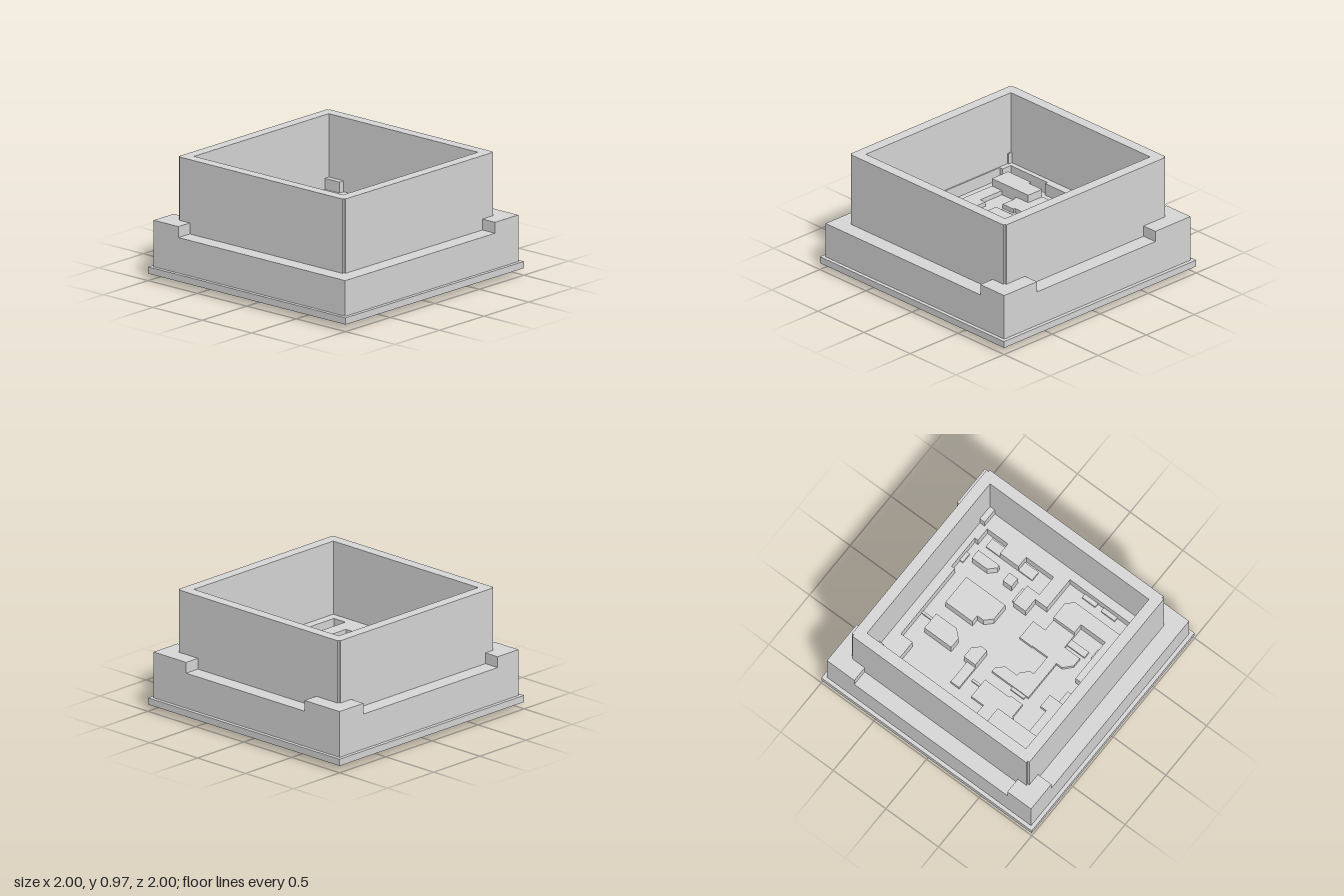
import * as THREE from 'three';

const grey = new THREE.MeshStandardMaterial({ color: 0xd9d9d9 });
grey.name = 'plain grey';

const rect = (x0, x1, z0, z1) => [[x0, z0], [x1, z0], [x1, z1], [x0, z1]];

// (x, z) corners to shape points, wound clockwise for holes and counter-clockwise for outlines
const toPoints = (pts, clockwise) => {
  const out = pts.map(([x, z]) => new THREE.Vector2(x, -z));
  return THREE.ShapeUtils.isClockWise(out) === clockwise ? out : out.reverse();
};

export function createModel() {
  const model = new THREE.Group();
  model.name = 'steppedTray';

  // Prism over an (x, z) outline between two heights, with optional hole
  const prism = (name, outline, y0, y1, hole) => {
    const shape = new THREE.Shape(toPoints(outline, false));
    if (hole) shape.holes.push(new THREE.Path(toPoints(hole, true)));
    const geo = new THREE.ExtrudeGeometry(shape, { depth: y1 - y0, bevelEnabled: false });
    geo.rotateX(-Math.PI / 2).translate(0, y0, 0);
    const mesh = new THREE.Mesh(geo, grey);
    mesh.name = name;
    model.add(mesh);
  };

  const FLOOR = 0.29, MID = 0.325, LEDGE = 0.387, CORNER = 0.473, BASE = 0.055;

  // Base flange and lower block
  prism('baseFlange', rect(-1, 1, -1, 1), BASE, 0.108);
  prism('lowerBlock', rect(-0.97, 0.97, -0.97, 0.97), 0.108, FLOOR);

  // Upper part of the block, with the stepped pocket cut through it
  const pocket = [
    [-0.715, -0.715], [-0.315, -0.715], [-0.315, -0.69], [-0.035, -0.69], [-0.035, -0.605],
    [0.57, -0.605], [0.57, -0.435], [0.68, -0.435], [0.68, 0.225], [0.71, 0.225], [0.71, 0.51],
    [0.68, 0.51], [0.68, 0.625], [0.05, 0.625], [0.05, 0.4], [-0.06, 0.4], [-0.06, 0.685],
    [-0.69, 0.685], [-0.69, 0.565], [-0.2, 0.565], [-0.145, 0.51], [-0.145, 0.37],
    [-0.345, 0.37], [-0.345, 0.45], [-0.575, 0.45], [-0.575, 0.085], [-0.745, 0.085],
    [-0.745, -0.63], [-0.715, -0.63],
  ];
  prism('pocketLedge', rect(-0.97, 0.97, -0.97, 0.97), FLOOR, LEDGE, pocket);

  // Three raised corners, running under the wall to the inside
  prism('cornerFrontLeft', rect(0.71, 0.97, 0.63, 0.97), LEDGE, CORNER);
  prism('cornerBackLeft', rect(0.71, 0.97, -0.97, -0.605), LEDGE, CORNER);
  prism('cornerBackRight', rect(-0.97, -0.745, -0.97, -0.72), LEDGE, CORNER);

  // Tall wall ring with small notches at its outer corners
  const o = 0.842, n = 0.826;
  const ring = [
    [-n, -o], [n, -o], [n, -n], [o, -n], [o, n], [n, n],
    [n, o], [-n, o], [-n, n], [-o, n], [-o, -n], [-n, -n],
  ];
  prism('wallRing', ring, LEDGE, 0.97, rect(-0.755, 0.755, -0.755, 0.755));

  // Full-height islands in the pocket
  const islands = [
    [[-0.655, -0.63], [-0.405, -0.63], [-0.405, -0.605], [-0.26, -0.605], [-0.26, -0.46], [-0.655, -0.46]],
    [[0.57, -0.03], [0.57, 0.225], [0.2, 0.225], [0.2, 0.085], [0.255, 0.03], [0.315, 0.03], [0.315, -0.03]],
    [[0.57, -0.145], [0.375, -0.145], [0.315, -0.2], [0.315, -0.29], [0.57, -0.29]],
    [[0.085, -0.29], [0.195, -0.29], [0.195, -0.2], [0.14, -0.145], [0.085, -0.145]],
    rect(0.05, 0.165, 0.28, 0.45),
    rect(0.255, 0.335, 0.37, 0.45),
    [[0.43, 0.45], [0.43, 0.425], [0.485, 0.37], [0.63, 0.37], [0.63, 0.45]],
    rect(0.31, 0.485, 0.53, 0.625),
  ];
  islands.forEach((p) => prism('pocketIsland', p, FLOOR, LEDGE));

  // Lower steps in the pocket
  const steps = [
    [[-0.26, -0.605], [-0.145, -0.605], [-0.145, -0.49], [-0.03, -0.49], [-0.03, -0.32], [-0.26, -0.32]],
    [[-0.385, -0.46], [-0.26, -0.46], [-0.26, -0.305], [-0.375, -0.305], [-0.375, -0.43], [-0.385, -0.43]],
    [[-0.655, -0.46], [-0.545, -0.46], [-0.545, -0.235], [-0.49, -0.235], [-0.49, -0.12], [-0.655, -0.12]],
    [[-0.375, -0.235], [-0.03, -0.235], [-0.03, -0.2], [-0.085, -0.145], [-0.2, -0.145],
      [-0.2, -0.12], [-0.255, -0.06], [-0.29, -0.06], [-0.29, 0.11], [-0.375, 0.11]],
    [[-0.49, 0.25], [-0.49, 0.175], [-0.43, 0.11], [-0.145, 0.11], [-0.145, 0.37], [-0.345, 0.37], [-0.345, 0.25]],
    rect(-0.145, -0.03, 0.105, 0.27),
    rect(0.085, 0.165, -0.49, -0.29),
    rect(0.165, 0.195, 0.305, 0.43),
  ];
  steps.forEach((p) => prism('pocketStep', p, FLOOR, MID));

  // Thin bars beside the islands
  const bars = [
    rect(-0.03, 0.05, -0.385, -0.365), rect(0.57, 0.68, -0.185, -0.165), rect(-0.655, -0.575, -0.12, -0.01),
    rect(-0.35, -0.225, -0.26, -0.235), rect(-0.51, -0.38, 0.65, 0.685), rect(-0.325, -0.2, 0.65, 0.685),
    rect(-0.51, -0.345, 0.28, 0.335), rect(-0.575, -0.55, 0.31, 0.395), rect(0.68, 0.71, 0.325, 0.41),
    rect(0.18, 0.31, 0.53, 0.61), rect(0.485, 0.62, 0.53, 0.61),
  ];
  bars.forEach((p) => prism('pocketBar', p, FLOOR, MID - 0.015));

  // Stepped foot below the base
  prism('underFoot', [
    [-0.03, 0.27], [-0.03, 0.11], [-0.145, 0.11], [-0.145, -0.115], [-0.03, -0.115], [-0.03, -0.3],
    [-0.2, -0.3], [-0.2, -0.45], [-0.345, -0.45], [-0.345, -0.245], [-0.38, -0.245], [-0.38, -0.115],
    [-0.56, -0.115], [-0.56, 0.11], [-0.345, 0.11], [-0.145, 0.27],
  ], 0, BASE);

  return model;
}
